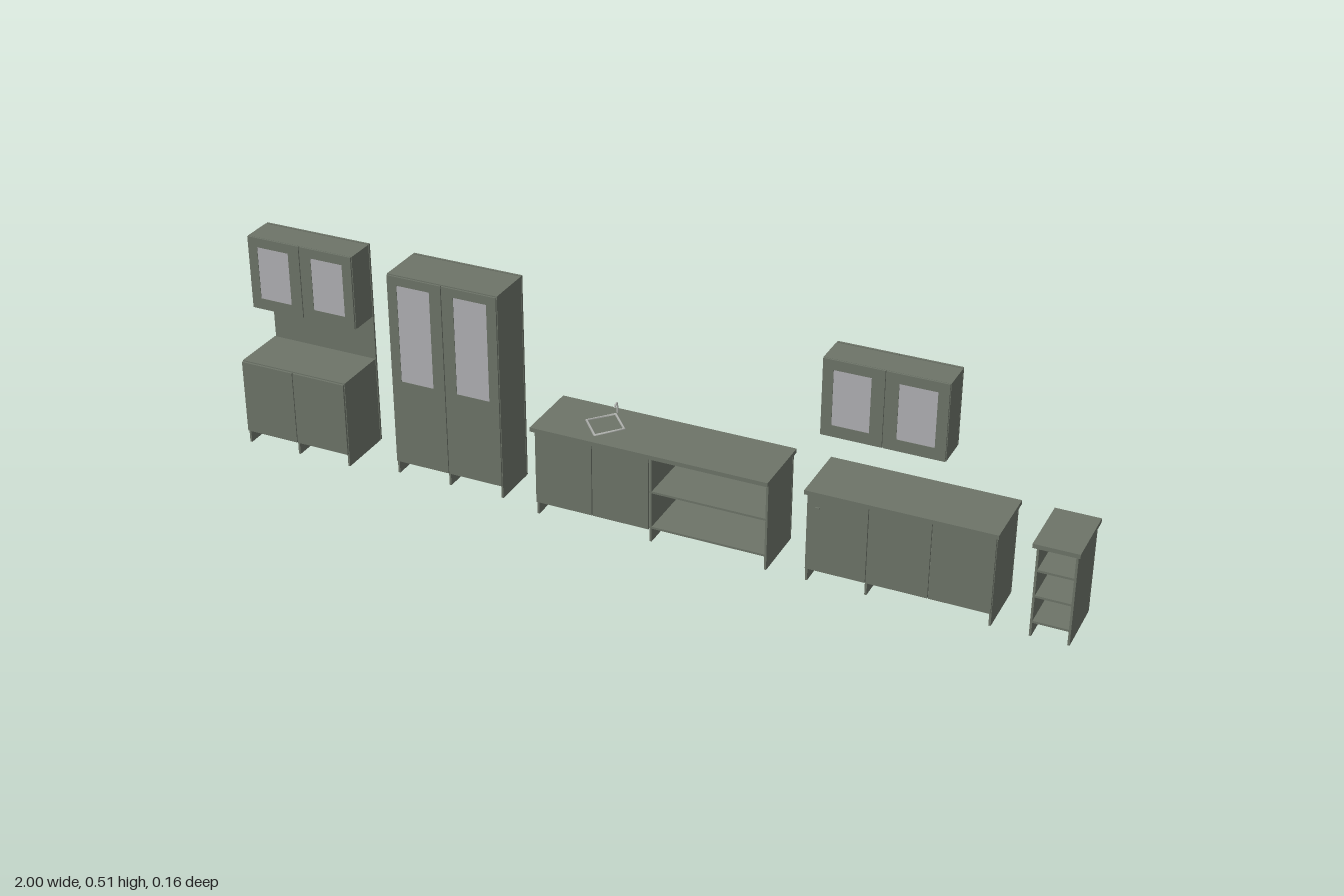
import * as THREE from 'three';

const wood = new THREE.MeshStandardMaterial({ color: 0x6d7468 });
wood.name = 'grey green board';
const glass = new THREE.MeshStandardMaterial({ color: 0xb0b0b4 });
glass.name = 'pale glass';
const metal = new THREE.MeshStandardMaterial({ color: 0xb8bab6 });
metal.name = 'brushed metal';

const T = 0.005;          // board thickness
const BACK = -0.08;       // rear face of every unit
const INNER = -0.072;     // rear edge of side boards, just ahead of the back panel

// Box given by its limits on each axis
function board(parent, name, x0, x1, y0, y1, z0, z1, mat = wood) {
  const m = new THREE.Mesh(new THREE.BoxGeometry(x1 - x0, y1 - y0, z1 - z0), mat);
  m.position.set((x0 + x1) / 2, (y0 + y1) / 2, (z0 + z1) / 2);
  m.name = name;
  parent.add(m);
  return m;
}

// Open carcass: xs lists the upright boards, floor is the height of the bottom board
function carcass(parent, xs, y0, y1, front, floor, shelves = []) {
  const x0 = xs[0], x1 = xs[xs.length - 1];
  xs.forEach((x, i) => {
    const left = i === 0 ? x : i === xs.length - 1 ? x - T : x - T / 2;
    board(parent, 'upright', left, left + T, y0, y1, INNER, front);
  });
  for (let i = 0; i < xs.length - 1; i++) {
    const a = xs[i] + (i ? T / 2 : T), b = xs[i + 1] - (i === xs.length - 2 ? T : T / 2);
    board(parent, 'bottom', a, b, floor, floor + T, INNER, front);
    board(parent, 'top', a, b, y1 - T, y1, INNER, front);
    for (const y of shelves) board(parent, 'shelf', a, b, y, y + T, INNER, front);
  }
  return [x0, x1];
}

function backPanels(parent, xs, y0, y1) {
  for (let i = 0; i < xs.length - 1; i++) {
    board(parent, 'backPanel', xs[i] + 0.0005, xs[i + 1] - 0.0005, y0, y1, BACK, BACK + T);
  }
}

// Row of plain doors between successive x limits
function doors(parent, xs, y0, y1, front) {
  for (let i = 0; i < xs.length - 1; i++) {
    board(parent, 'door', xs[i] + 0.001, xs[i + 1] - 0.001, y0, y1, front + 0.001, front + 0.006);
  }
}

// Door with a window: a frame extruded around a hole, with a pane in it
function glassDoor(parent, x0, x1, y0, y1, front, pane) {
  const [a, b, c, d] = pane;
  const s = new THREE.Shape();
  s.moveTo(x0, y0).lineTo(x1, y0).lineTo(x1, y1).lineTo(x0, y1).closePath();
  const h = new THREE.Path();
  h.moveTo(a, c).lineTo(a, d).lineTo(b, d).lineTo(b, c).closePath();
  s.holes.push(h);
  const m = new THREE.Mesh(new THREE.ExtrudeGeometry(s, { depth: 0.004, bevelEnabled: false }), wood);
  m.position.z = front + 0.001;
  m.name = 'glassDoorFrame';
  parent.add(m);
  board(parent, 'glassPane', a, b, c, d, front + 0.002, front + 0.004, glass);
}

function glassPair(parent, x0, x1, y0, y1, front, paneY0, paneY1) {
  const mid = (x0 + x1) / 2;
  for (const [a, b, inL, inR] of [[x0, mid, 0.025, 0.03], [mid, x1, 0.03, 0.025]]) {
    glassDoor(parent, a + 0.001, b - 0.001, y0, y1, front, [a + inL, b - inR, paneY0, paneY1]);
  }
}

function unit(root, name) {
  const g = new THREE.Group();
  g.name = name;
  root.add(g);
  return g;
}

export function createModel() {
  const root = new THREE.Group();
  root.name = 'kitchenCabinets';

  // Dresser: base, tall back and glazed top
  const dresser = unit(root, 'dresser');
  const dx = [-1, -0.8625, -0.725];
  carcass(dresser, dx, 0, 0.217, 0.064, 0.033, [0.12]);
  doors(dresser, dx, 0.033, 0.215, 0.064);
  carcass(dresser, dx, 0.327, 0.508, 0, 0.327, [0.41]);
  glassPair(dresser, -1, -0.725, 0.328, 0.508, 0, 0.355, 0.485);
  backPanels(dresser, [-1, -0.725], 0, 0.508);

  // Tall cupboard
  const tall = unit(root, 'tallCupboard');
  const tx = [-0.61, -0.4725, -0.335];
  carcass(tall, tx, 0, 0.508, 0.039, 0.033, [0.12, 0.22, 0.32, 0.41]);
  glassPair(tall, -0.61, -0.335, 0.033, 0.506, 0.039, 0.245, 0.485);
  backPanels(tall, [-0.61, -0.335], 0, 0.508);

  // Sink counter: two doors on the left, open shelves on the right
  const sink = unit(root, 'sinkCounter');
  const sx = [-0.235, 0.045, 0.32];
  carcass(sink, sx, 0, 0.217, 0.064, 0.033, [0.123]);
  doors(sink, [-0.235, -0.095, 0.043], 0.033, 0.215, 0.064);
  backPanels(sink, sx, 0, 0.217);
  board(sink, 'worktop', -0.24, 0.325, 0.218, 0.228, -0.081, 0.082);

  // Diamond basin rim with a shallow bowl, and a bent tap
  const basin = unit(sink, 'basin');
  basin.position.set(-0.095, 0.2285, 0);
  const rim = new THREE.Mesh(new THREE.TorusGeometry(0.046, 0.004, 4, 4), metal);
  rim.rotation.x = -Math.PI / 2;
  rim.scale.set(1, 1.15, 0.7);
  rim.name = 'basinRim';
  basin.add(rim);
  const path = new THREE.CatmullRomCurve3([
    [0, 0, -0.061], [0, 0.017, -0.061], [0, 0.026, -0.058], [0, 0.023, -0.05], [0, 0.018, -0.047],
  ].map((p) => new THREE.Vector3(...p)));
  const tap = new THREE.Mesh(new THREE.TubeGeometry(path, 12, 0.0022, 6), metal);
  tap.name = 'tap';
  basin.add(tap);

  // Three-door counter
  const counter = unit(root, 'longCounter');
  const cx = [0.41, 0.548, 0.825];
  carcass(counter, cx, 0, 0.217, 0.064, 0.033, [0.123]);
  doors(counter, [0.41, 0.548, 0.687, 0.825], 0.033, 0.215, 0.064);
  board(counter, 'knob', 0.43, 0.44, 0.188, 0.191, 0.07, 0.074);
  backPanels(counter, cx, 0, 0.217);
  board(counter, 'worktop', 0.405, 0.83, 0.218, 0.228, BACK, 0.075);

  // Wall cupboard
  const wall = unit(root, 'wallCupboard');
  const wx = [0.408, 0.5465, 0.685];
  carcass(wall, wx, 0.327, 0.508, 0, 0.327, [0.41]);
  glassPair(wall, 0.408, 0.685, 0.328, 0.508, 0, 0.355, 0.485);
  backPanels(wall, wx, 0.327, 0.508);

  // Narrow open shelf unit
  const narrow = unit(root, 'narrowShelves');
  carcass(narrow, [0.907, 0.994], 0, 0.217, 0.064, 0.033, [0.095, 0.157]);
  backPanels(narrow, [0.907, 0.994], 0, 0.217);
  board(narrow, 'worktop', 0.9, 1, 0.218, 0.228, BACK, 0.075);

  return root;
}
